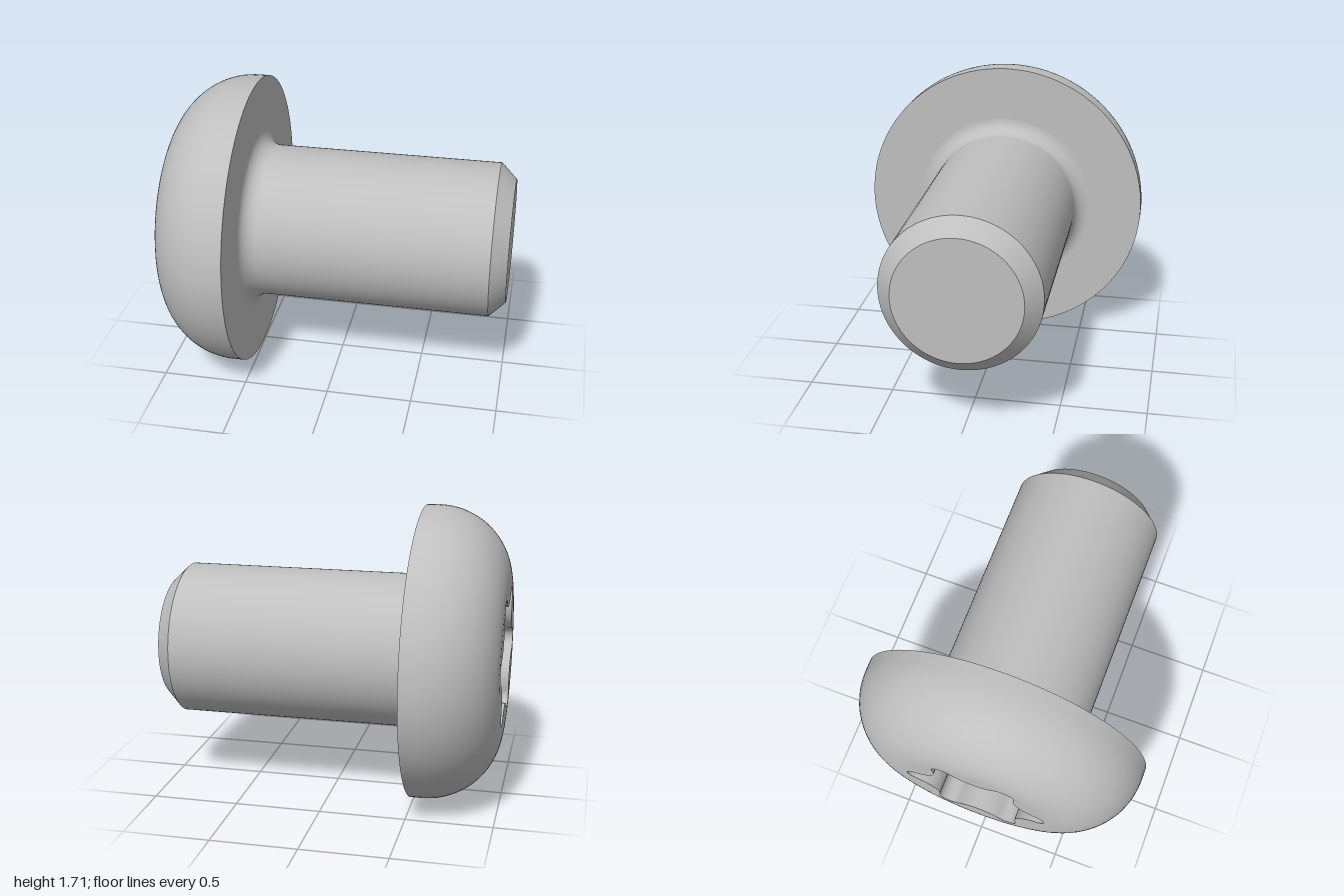
import * as THREE from 'three';

const SEG = 96;
const HEAD_R = 0.857, FACE_R = 0.427, SHANK_R = 0.45;
const BACK = -1, RIM = -0.505, DEPTH = 0.31;

// Quarter-arc points as (radius, height along the axis)
function arc(cr, cy, r, a0, a1, n) {
  return Array.from({ length: n + 1 }, (_, i) => {
    const a = a0 + (a1 - a0) * i / n;
    return new THREE.Vector2(cr + r * Math.cos(a), cy + r * Math.sin(a));
  });
}

// Six-lobed socket outline: small outer lobes tangent to wider inner bumps
function socketOutline() {
  const lobeR = 0.067, lobeC = 0.351, bumpR = 0.178, bumpC = 0.476;
  const t = THREE.MathUtils.degToRad(75.6), pts = [];
  const add = (dir, c, r, a) => pts.push(new THREE.Vector2(
    c * Math.cos(dir) + r * Math.cos(a), c * Math.sin(dir) + r * Math.sin(a)));
  for (let k = 0; k < 6; k++) {
    const d = Math.PI / 2 + k * Math.PI / 3, b = d + Math.PI / 6;
    for (let i = 0; i <= 12; i++) add(d, lobeC, lobeR, d - t + 2 * t * i / 12);
    const half = t - Math.PI / 6;
    for (let i = 1; i < 10; i++) add(b, bumpC, bumpR, b + Math.PI + half - 2 * half * i / 10);
  }
  return pts;
}

// Inward-facing wall swept from the outline
function socketWall(pts) {
  const n = pts.length, pos = [], idx = [];
  for (const z of [0, -DEPTH]) for (const p of pts) pos.push(p.x, p.y, z);
  for (let i = 0; i < n; i++) {
    const j = (i + 1) % n;
    idx.push(i, j, n + i, j, n + j, n + i);
  }
  const g = new THREE.BufferGeometry();
  g.setAttribute('position', new THREE.Float32BufferAttribute(pos, 3));
  g.setIndex(idx);
  g.computeVertexNormals();
  return g;
}

export function createModel() {
  const steel = new THREE.MeshStandardMaterial({ color: 0xbfbfbf });
  steel.name = 'steel grey';

  // Built around the y axis, then laid along x
  const screw = new THREE.Group();
  screw.name = 'screw';
  const add = (name, geometry, parent = screw) => {
    const m = new THREE.Mesh(geometry, steel);
    m.name = name;
    parent.add(m);
    return m;
  };
  const V = (r, y) => new THREE.Vector2(r, y);
  const turned = (name, pts) => add(name, new THREE.LatheGeometry(pts, SEG));

  // Head
  const round = HEAD_R - FACE_R;
  turned('headDome', [...arc(FACE_R, BACK + round, round, -Math.PI / 2, 0, 24), V(HEAD_R, RIM)]);
  turned('headUnderside', [V(HEAD_R, RIM), V(SHANK_R + 0.09, RIM)]);

  // Shank with fillet, chamfer and flat tip
  const fillet = arc(SHANK_R + 0.09, RIM + 0.09, 0.09, -Math.PI / 2, -Math.PI, 10);
  turned('shank', [...fillet, V(SHANK_R, 0.907)]);
  turned('tipChamfer', [V(SHANK_R, 0.907), V(0.36, 1)]);
  turned('tipFace', [V(0.36, 1), V(0, 1)]);

  // Head face with the drive socket
  const socket = new THREE.Group();
  socket.name = 'driveSocket';
  socket.rotation.x = Math.PI / 2;
  socket.position.y = BACK;
  screw.add(socket);
  const outline = socketOutline();
  const face = new THREE.Shape().absarc(0, 0, FACE_R, 0, Math.PI * 2, false);
  face.holes.push(new THREE.Path(outline));
  add('headFace', new THREE.ShapeGeometry(face, SEG / 2), socket);
  add('socketWall', socketWall(outline), socket);
  add('socketFloor', new THREE.ShapeGeometry(new THREE.Shape(outline)), socket).position.z = -DEPTH;

  screw.rotation.z = -Math.PI / 2;
  screw.position.y = HEAD_R;
  const model = new THREE.Group();
  model.name = 'model';
  model.add(screw);
  return model;
}
